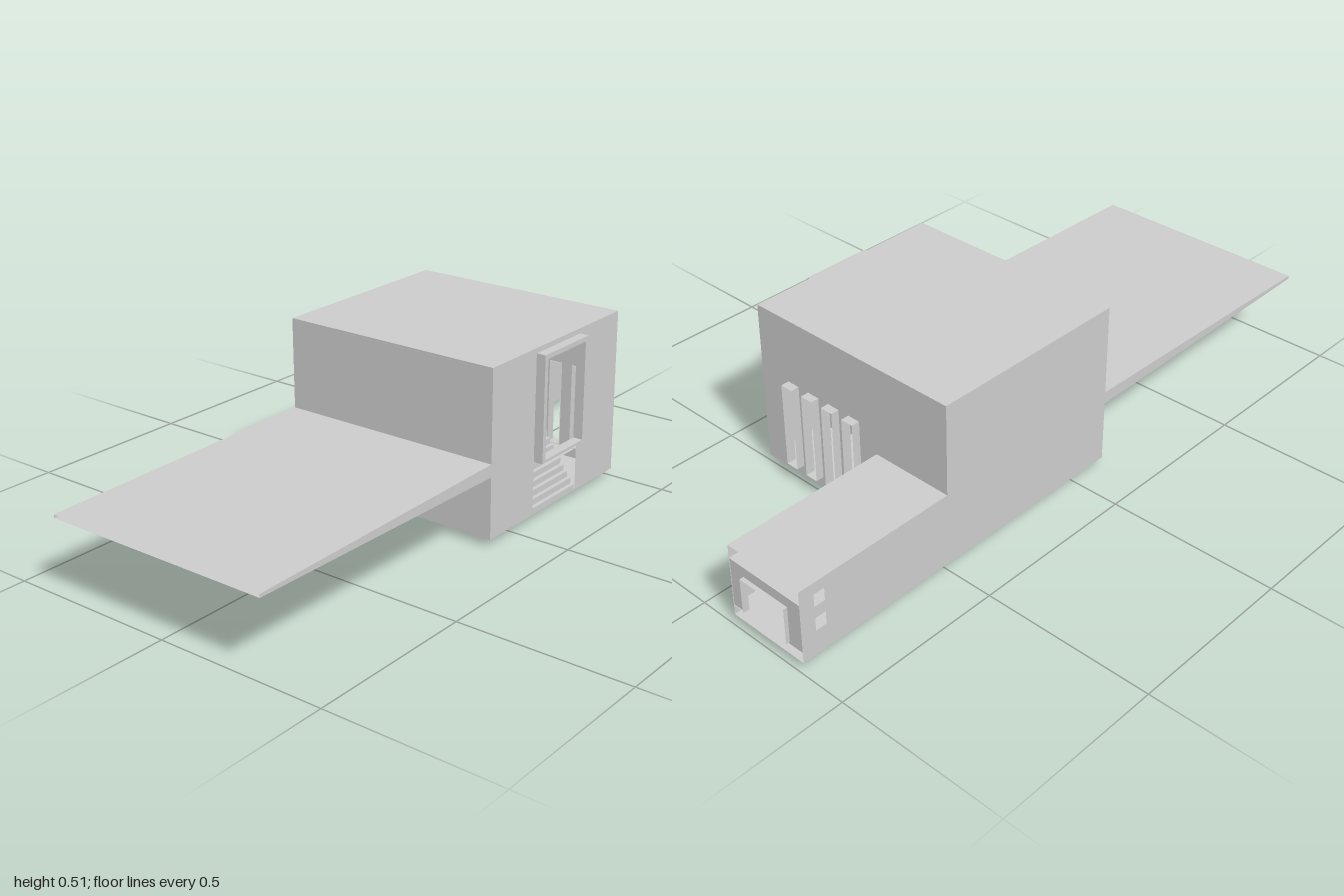
import * as THREE from 'three';

// Main extents
const X0 = -0.358, X1 = 0.328, WX = -0.108;   // outer walls, wing inner wall
const Y0 = 0.022, Y1 = 0.507, WY = 0.24;      // underside, main roof, wing roof
const ZB = -0.5, ZF = 0.115, ZW = -0.99;      // main back, main front, wing end

const material = new THREE.MeshStandardMaterial({ color: 0xcccccc, side: THREE.DoubleSide });

function rect(Type, [u0, v0, u1, v1]) {
  const s = new Type();
  s.moveTo(u0, v0);
  s.lineTo(u1, v0);
  s.lineTo(u1, v1);
  s.lineTo(u0, v1);
  s.closePath();
  return s;
}

// Turn a drawing in XY so that it faces the given axis: x uses (z, y), y uses (x, z)
function orient(geo, axis, at) {
  if (axis === 'x') return geo.rotateY(-Math.PI / 2).translate(at, 0, 0);
  if (axis === 'y') return geo.rotateX(Math.PI / 2).translate(0, at, 0);
  return geo.translate(0, 0, at);
}

export function createModel() {
  const model = new THREE.Group();
  model.name = 'house';

  function add(name, geo, parent = model) {
    const mesh = new THREE.Mesh(geo, material);
    mesh.name = name;
    parent.add(mesh);
    return mesh;
  }

  // Thin wall with rectangular openings
  function panel(name, axis, at, bounds, holes = []) {
    const shape = rect(THREE.Shape, bounds);
    shape.holes = holes.map(h => rect(THREE.Path, h));
    add(name, orient(new THREE.ShapeGeometry(shape), axis, at));
  }

  // Open four-sided sleeve between two rectangles at z = za and z = zb
  function sleeve(ra, za, rb, zb) {
    const corners = ([u0, v0, u1, v1], z) => [[u0, v0, z], [u1, v0, z], [u1, v1, z], [u0, v1, z]];
    const a = corners(ra, za), b = corners(rb, zb), pos = [];
    for (let i = 0; i < 4; i++) {
      const j = (i + 1) % 4;
      pos.push(...a[i], ...a[j], ...b[j], ...a[i], ...b[j], ...b[i]);
    }
    const geo = new THREE.BufferGeometry();
    geo.setAttribute('position', new THREE.Float32BufferAttribute(pos, 3));
    geo.computeVertexNormals();
    return geo;
  }

  // Openings: [u0, v0, u1, v1]
  const windows = [-0.027, 0.05, 0.127, 0.204].map(x => [x - 0.02, 0.055, x + 0.02, 0.312]);
  const passage = [X0 + 0.006, 0.056, WX - 0.006, 0.198];
  const doorway = [-0.3, Y0 + 0.002, -0.086, 0.492];
  const endWindow = [-0.311, 0.06, -0.155, 0.167];
  const sideWindow = [-0.932, 0.095, -0.902, 0.167];
  const ventsAt = [0.095, 0.168].map(y => [-0.945, y, -0.912, y + 0.038]);

  // Main block
  panel('mainRoof', 'y', Y1, [X0, ZB, X1, ZF]);
  panel('mainUnderside', 'y', Y0, [X0, ZB, X1, ZF]);
  panel('mainFloor', 'y', 0.052, [X0, ZB, 0.2, ZF]);
  panel('mainRightWall', 'x', X0, [ZB, Y0, ZF, Y1]);
  panel('mainLeftWall', 'x', X1, [ZB, Y0, ZF, Y1], [doorway]);
  panel('mainBackWall', 'z', ZB, [X0, Y0, X1, Y1], [...windows, passage]);
  panel('frontWallLower', 'z', ZF, [X0, Y0, X1, 0.203]);
  panel('frontWallUpper', 'z', ZF, [X0, WY, X1, Y1]);

  // Hollow tapering canopy, open at its front edge
  add('canopy', sleeve([X0, 0.203, X1, WY], ZF, [X0, 0.217, X1, 0.227], 1));

  // Back window sleeves
  for (const w of windows) add('backWindowFrame', sleeve(w, ZB - 0.025, w, ZB + 0.004));

  // Door surround
  const surround = rect(THREE.Shape, [-0.3, 0.18, -0.086, 0.492]);
  surround.holes.push(rect(THREE.Path, [-0.286, 0.188, -0.1, 0.478]));
  const frame = new THREE.ExtrudeGeometry(surround, { depth: 0.029, bevelEnabled: false });
  add('doorFrame', orient(frame, 'x', 0.356));

  // Stairs up to the door sill and down to the inner floor
  const steps = 9, sill = 0.18;
  const profile = new THREE.Shape();
  let x = X1 - 0.002;
  profile.moveTo(x, Y0);
  for (let i = 1; i <= steps; i++) {
    const y = Y0 + (sill - Y0) * i / steps;
    profile.lineTo(x, y);
    x -= 0.012;
    profile.lineTo(x, y);
  }
  for (let i = steps - 1; i >= 0; i--) {
    const y = Y0 + (sill - Y0) * i / steps;
    profile.lineTo(x, y);
    if (i > 0) profile.lineTo(x -= 0.012, y);
  }
  const stairs = new THREE.ExtrudeGeometry(profile, { depth: 0.214, bevelEnabled: false });
  add('stairs', stairs.translate(0, 0, -0.3));

  // Back wing: outer shell
  panel('wingRoof', 'y', WY, [X0, ZW, WX, ZB]);
  panel('wingUnderside', 'y', Y0, [X0, ZW, WX, ZB]);
  panel('wingRightWall', 'x', X0, [ZW, Y0, ZB, WY], ventsAt);
  panel('wingLeftWall', 'x', WX, [ZW, Y0, ZB, WY], [sideWindow]);

  // Back wing: inner ceiling, floor and end wall, leaving slots above and below
  panel('wingCeiling', 'y', 0.2, [X0, ZW, WX, ZB]);
  panel('wingFloor', 'y', 0.052, [X0, ZW, WX, ZB]);
  panel('wingEndWall', 'z', ZW + 0.002, [X0, 0.052, WX, 0.2], [endWindow]);
  add('endWindowFrame', sleeve(endWindow, -1, endWindow, ZW + 0.01));

  // Small side window rim
  const rim = rect(THREE.Shape, sideWindow);
  const [z0, y0, z1, y1] = sideWindow;
  rim.holes.push(rect(THREE.Path, [z0 + 0.003, y0 + 0.003, z1 - 0.003, y1 - 0.003]));
  const rimGeo = new THREE.ExtrudeGeometry(rim, { depth: 0.006, bevelEnabled: false });
  add('sideWindowFrame', orient(rimGeo, 'x', WX + 0.005));

  // Plinth under the wing
  add('plinth', new THREE.BoxGeometry(0.156, Y0, 0.8).translate(-0.233, Y0 / 2, -0.5));

  return model;
}
